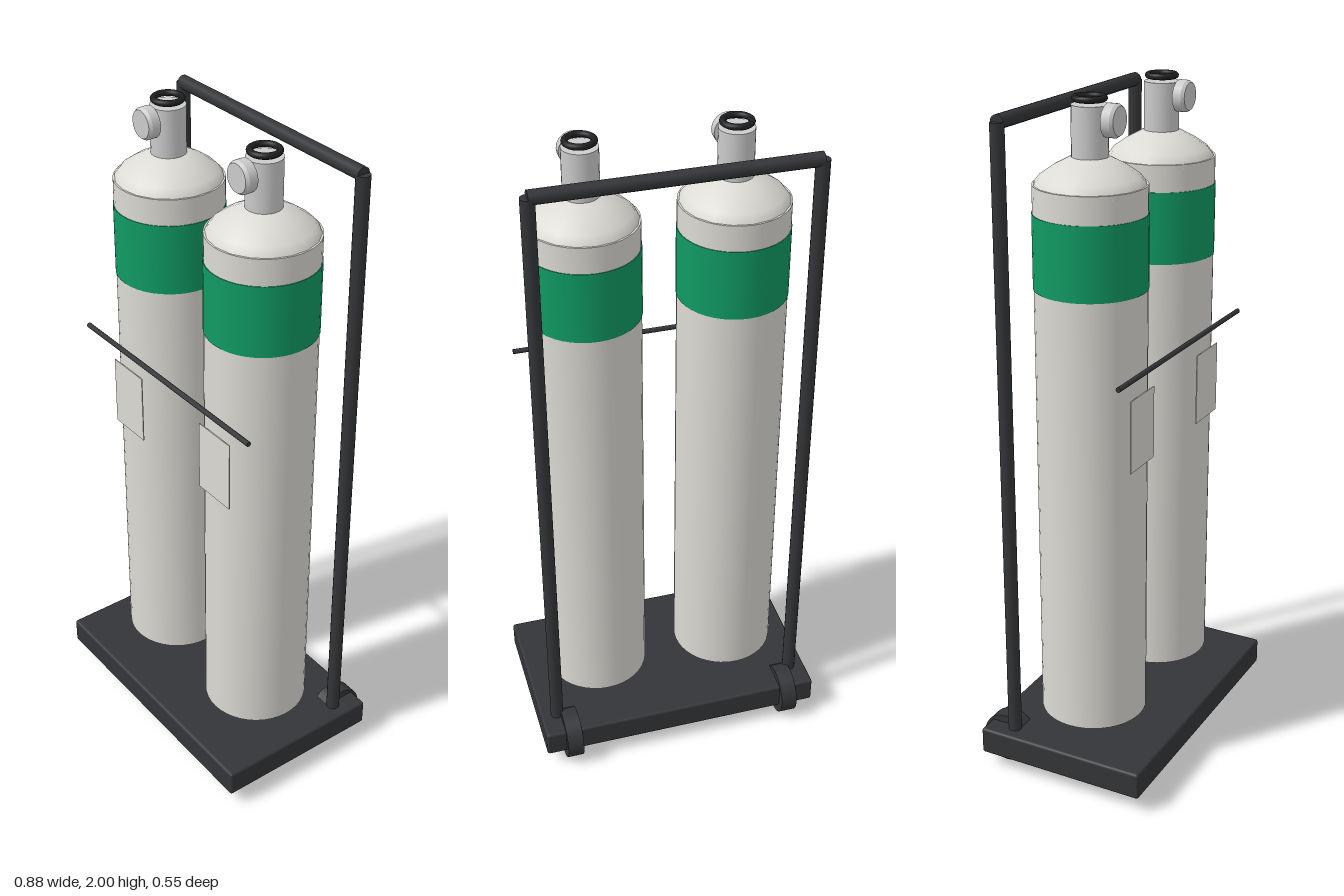
import * as THREE from 'three';
import { RoundedBoxGeometry } from 'three/addons/geometries/RoundedBoxGeometry.js';

const mat = (color) => new THREE.MeshStandardMaterial({ color });
const frameMat = mat(0x333538);
const bodyMat = mat(0xdcdad4);
const bandMat = mat(0x109a62);
const metalMat = mat(0xcccccc);
const rubberMat = mat(0x1e1f21);

function add(parent, name, geometry, material, x = 0, y = 0, z = 0) {
  const mesh = new THREE.Mesh(geometry, material);
  mesh.name = name;
  mesh.position.set(x, y, z);
  parent.add(mesh);
  return mesh;
}

// Cylinder lying along x
const rodX = (r, length, sides) =>
  new THREE.CylinderGeometry(r, r, length, sides).rotateZ(Math.PI / 2);

function createTank() {
  const tank = new THREE.Group();

  // Body, painted band and domed shoulder
  add(tank, 'tankBody', new THREE.CylinderGeometry(0.156, 0.156, 1.587, 40), bodyMat, 0, 0.9735, 0);
  add(tank, 'colourBand', new THREE.CylinderGeometry(0.158, 0.158, 0.208, 40), bandMat, 0, 1.586, 0);
  const dome = [[0.156, 1.755], [0.151, 1.77], [0.136, 1.789], [0.1, 1.814], [0.054, 1.838], [0, 1.847]];
  add(tank, 'shoulder', new THREE.LatheGeometry(dome.map(([r, y]) => new THREE.Vector2(r, y)), 18), bodyMat);

  // Valve stem, handwheel and front gauge
  add(tank, 'valveStem', new THREE.CylinderGeometry(0.05, 0.05, 0.18, 24), metalMat, 0, 1.885, 0);
  add(tank, 'handwheel', new THREE.TorusGeometry(0.039, 0.009, 10, 28).rotateX(Math.PI / 2), rubberMat, 0, 1.991, 0);
  add(tank, 'gauge', new THREE.CylinderGeometry(0.045, 0.045, 0.026, 20).rotateX(Math.PI / 2), metalMat, 0, 1.938, 0.067);
  add(tank, 'gaugeFace', new THREE.CylinderGeometry(0.039, 0.045, 0.009, 20).rotateX(Math.PI / 2), metalMat, 0, 1.938, 0.0845);

  // Blank label plate
  add(tank, 'labelPlate', new THREE.BoxGeometry(0.14, 0.213, 0.003), bodyMat, 0, 1.093, 0.1575);
  return tank;
}

export function createModel() {
  const model = new THREE.Group();
  model.name = 'cylinderTrolley';

  // Base platform
  add(model, 'base', new RoundedBoxGeometry(0.876, 0.082, 0.526, 2, 0.008), frameMat, 0, 0.09, 0.012);

  for (const [side, s] of [['left', 1], ['right', -1]]) {
    // Upright and wheel on each side
    add(model, side + 'Post', new THREE.CylinderGeometry(0.02, 0.02, 1.83, 16), frameMat, s * 0.386, 1.027, -0.164);
    add(model, side + 'Wheel', rodX(0.076, 0.05, 32), frameMat, s * 0.352, 0.078, -0.202);

    const tank = createTank();
    tank.name = side + 'Tank';
    tank.position.set(s * 0.211, 0, 0.011);
    model.add(tank);
  }

  // Push handle and front retaining bar
  add(model, 'handleBar', rodX(0.02, 0.774, 16), frameMat, 0, 1.942, -0.164);
  add(model, 'retainingBar', rodX(0.0075, 0.776, 10), frameMat, 0, 1.272, 0.187);

  return model;
}
